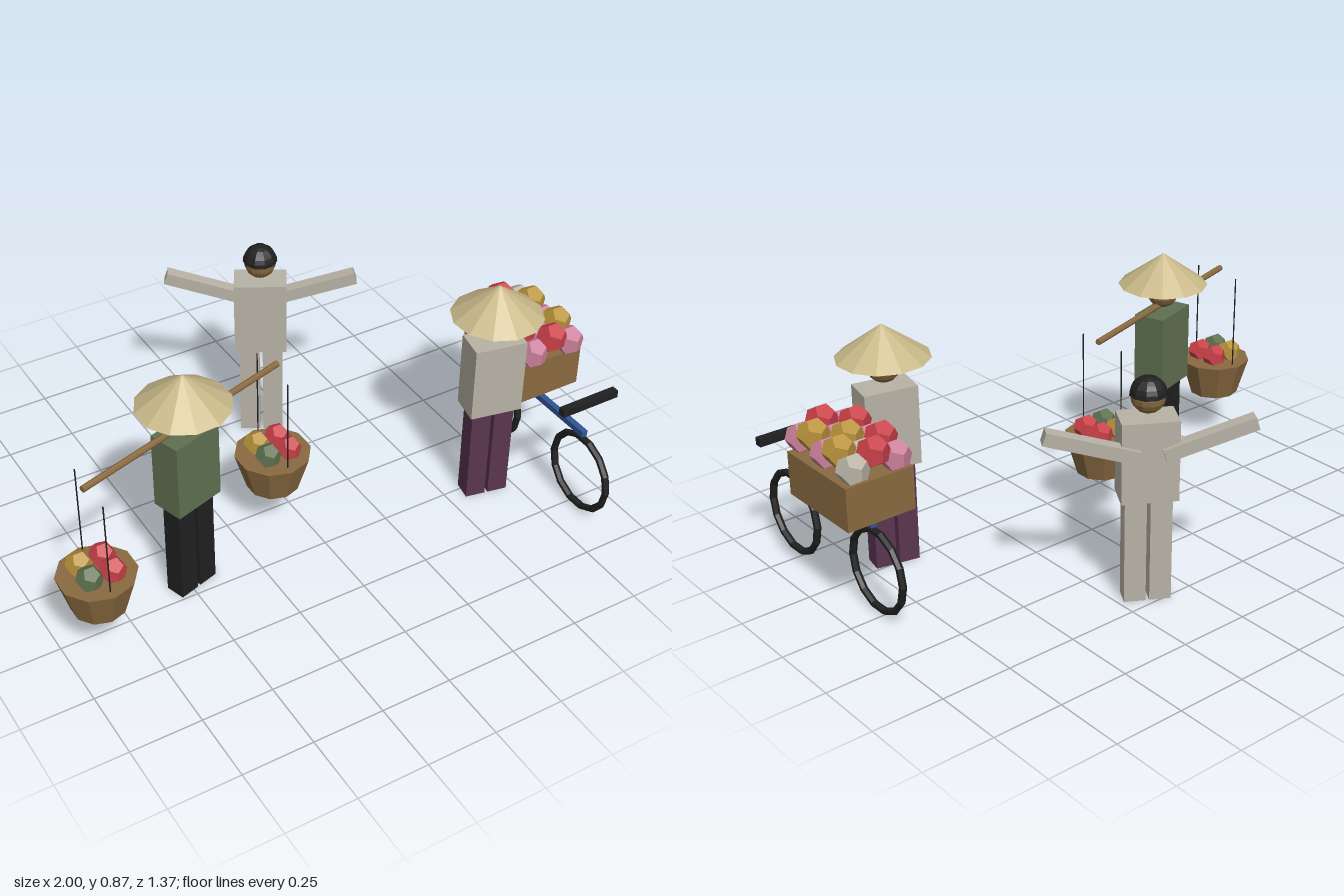
import * as THREE from 'three';

const mat = (name, color) => {
  const m = new THREE.MeshStandardMaterial({ color });
  m.name = name;
  return m;
};

export function createModel() {
  const M = {
    grey: mat('pale grey', 0xb8b2a6),
    brown: mat('brown', 0x8a6a40),
    straw: mat('straw', 0xc8b888),
    green: mat('green', 0x5f7050),
    purple: mat('purple', 0x5a3550),
    black: mat('black', 0x202020),
    red: mat('red', 0xc84048),
    gold: mat('gold', 0xb8923a),
    pink: mat('pink', 0xc97f9b),
    blue: mat('blue', 0x2f5596),
  };
  const model = new THREE.Group();
  model.name = 'streetSellers';

  // Adds a faceted mesh
  const add = (parent, name, geo, material, x = 0, y = 0, z = 0) => {
    const g = geo.index ? geo.toNonIndexed() : geo;
    g.computeVertexNormals();
    const mesh = new THREE.Mesh(g, material);
    mesh.name = name;
    mesh.position.set(x, y, z);
    parent.add(mesh);
    return mesh;
  };
  const box = (w, h, d) => new THREE.BoxGeometry(w, h, d);

  // Blocky person with torso, legs and head
  const person = (name, x, z, turn, shirt, trousers) => {
    const p = new THREE.Group();
    p.name = name;
    p.position.set(x, 0, z);
    p.rotation.y = turn;
    model.add(p);
    add(p, 'torso', box(0.187, 0.28, 0.115), shirt, 0, 0.51, 0);
    for (const s of [-1, 1]) {
      add(p, s > 0 ? 'leftLeg' : 'rightLeg', box(0.072, 0.37, 0.071), trousers, s * 0.042, 0.185, 0);
    }
    add(p, 'head', new THREE.SphereGeometry(0.057, 12, 10), M.brown, 0, 0.72, 0);
    return p;
  };
  const hat = (p) => add(p, 'conicalHat', new THREE.ConeGeometry(0.159, 0.115, 12), M.straw, 0, 0.8075, 0);

  // Carrier with shoulder pole
  const carrier = person('carrier', -0.487, 0.184, 0.3, M.green, M.black);
  hat(carrier);
  const pole = add(carrier, 'shoulderPole', new THREE.CylinderGeometry(0.011, 0.011, 0.86, 8), M.brown, 0, 0.675, 0);
  pole.rotation.z = Math.PI / 2;

  // Hanging baskets of fruit
  for (const [x, z] of [[-0.874, 0.303], [-0.1, 0.064]]) {
    const b = new THREE.Group();
    b.name = 'hangingBasket';
    b.position.set(x, 0, z);
    model.add(b);
    add(b, 'basket', new THREE.CylinderGeometry(0.133, 0.092, 0.137, 10), M.brown, 0, 0.2505, 0);
    for (const s of [-1, 1]) {
      add(b, 'cord', new THREE.CylinderGeometry(0.0025, 0.0025, 0.35, 5), M.black, 0, 0.49, s * 0.1);
    }
    [M.gold, M.red, M.green, M.red].forEach((m, i) => {
      add(b, 'fruit', new THREE.DodecahedronGeometry(0.045), m,
        i % 2 ? 0.04 : -0.04, 0.345, i < 2 ? -0.039 : 0.039);
    });
  }

  // Youth with raised arms and short hair
  const youth = person('youth', 0.147, -0.446, -0.53, M.grey, M.grey);
  add(youth, 'hair', new THREE.SphereGeometry(0.061, 10, 6, 0, Math.PI * 2, 0, Math.PI / 2), M.black, 0, 0.725, 0);
  const hairBase = add(youth, 'hairBase', new THREE.CircleGeometry(0.061, 10), M.black, 0, 0.725, 0);
  hairBase.rotation.x = Math.PI / 2;
  for (const s of [-1, 1]) {
    const arm = add(youth, s > 0 ? 'leftArm' : 'rightArm', box(0.31, 0.045, 0.045), M.grey, s * 0.19, 0.583, -0.05);
    arm.rotation.z = s * 0.3;
  }

  // Seller beside the bicycle
  hat(person('seller', 0.645, 0.279, -0.2, M.grey, M.purple));

  // Bicycle
  const bike = new THREE.Group();
  bike.name = 'bicycle';
  bike.position.x = 0.872;
  model.add(bike);
  for (const z of [0.529, 0.026]) {
    const wheel = add(bike, z > 0.1 ? 'frontWheel' : 'backWheel', new THREE.TorusGeometry(0.143, 0.013, 6, 14), M.black, 0, 0.156, z);
    wheel.rotation.y = Math.PI / 2;
  }
  add(bike, 'frame', box(0.022, 0.022, 0.5), M.blue, 0, 0.32, 0.28);
  add(bike, 'handlebar', box(0.23, 0.028, 0.028), M.black, 0, 0.457, 0.528);

  // Crate with alternating high and low fruit
  add(bike, 'crate', box(0.25, 0.152, 0.34), M.brown, 0.003, 0.434, 0.144);
  const columns = [
    [M.pink, M.red, M.pink, M.red, M.pink],
    [M.red, M.pink, M.gold, M.grey, M.red],
    [M.pink, M.gold, M.pink, M.gold, M.grey],
  ];
  columns.forEach((col, i) => col.forEach((m, j) => {
    const high = (i + j) % 2;
    add(bike, 'crateFruit', new THREE.DodecahedronGeometry(0.055), m,
      (i - 1) * 0.077 + 0.002, high ? 0.588 : 0.55, 0.3 - j * 0.074);
  }));

  return model;
}
